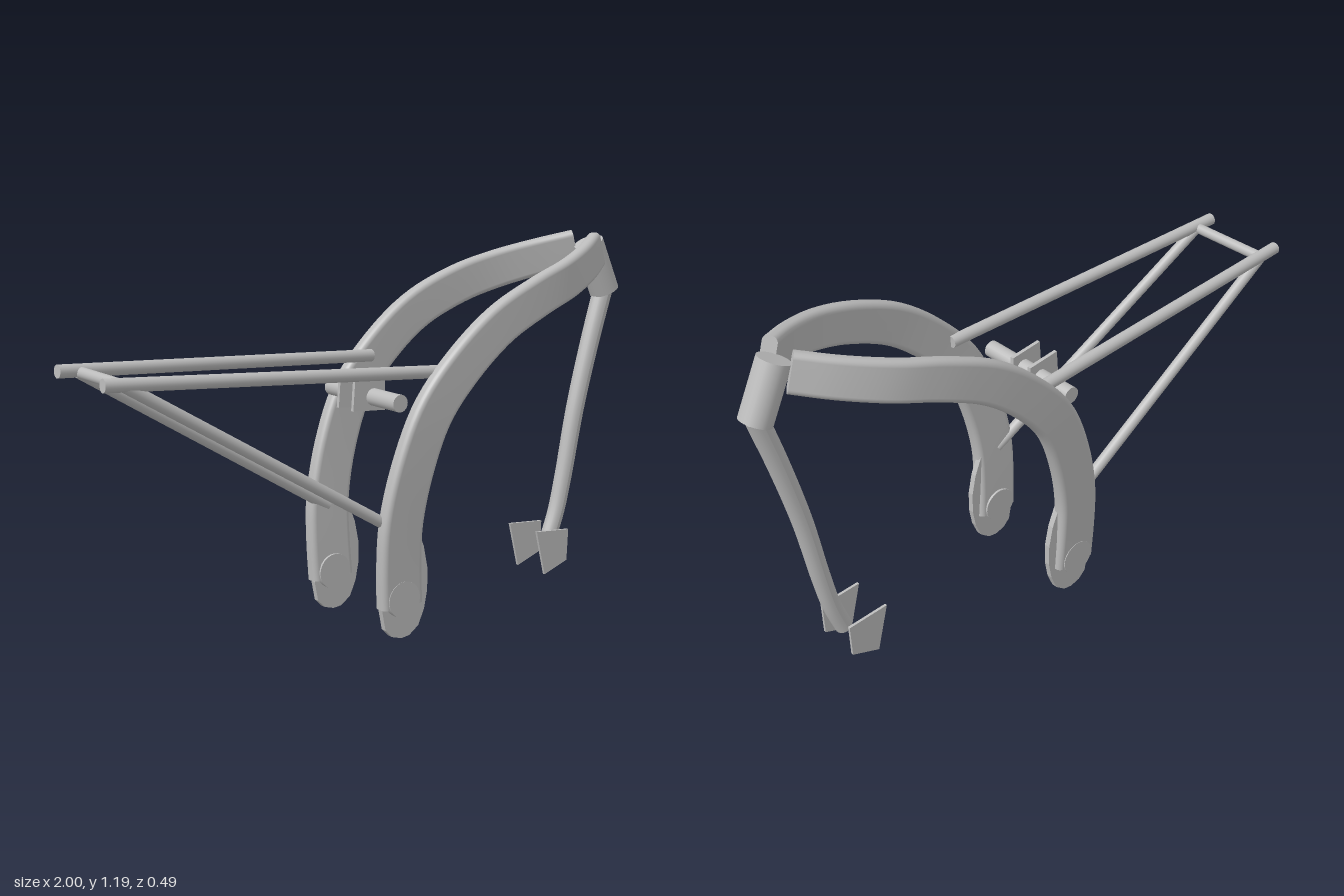
import * as THREE from 'three';

const metal = new THREE.MeshStandardMaterial({ color: 0xbbbbbb });
metal.name = 'bare metal';
const V = (x, y, z = 0) => new THREE.Vector3(x, y, z);

function add(parent, name, geometry) {
  const mesh = new THREE.Mesh(geometry, metal);
  mesh.name = name;
  parent.add(mesh);
  return mesh;
}

// Straight capped tube between two points
function rod(parent, name, a, b, radius) {
  const mesh = add(parent, name, new THREE.CylinderGeometry(radius, radius, a.distanceTo(b), 24));
  mesh.position.copy(a).add(b).multiplyScalar(0.5);
  mesh.quaternion.setFromUnitVectors(V(0, 1), b.clone().sub(a).normalize());
  return mesh;
}

// Flat plate from an outline in x and y, centred on z
function plate(parent, name, outline, z, thickness) {
  const shape = new THREE.Shape(outline.map(([x, y]) => new THREE.Vector2(x, y)));
  const geometry = new THREE.ExtrudeGeometry(shape, { depth: thickness, bevelEnabled: false });
  geometry.translate(0, 0, z - thickness / 2);
  return add(parent, name, geometry);
}

// Rounded rectangle swept along a curve; size(t) gives [height, thickness, corner radius]
function sweep(points, size, steps = 48) {
  const curve = new THREE.CatmullRomCurve3(points, false, 'centripetal');
  const perCorner = 6, ring = perCorner * 4;
  const positions = [], index = [];
  const rings = [];
  for (let i = 0; i <= steps; i++) {
    const t = i / steps;
    const center = curve.getPointAt(t), T = curve.getTangentAt(t);
    const N = V(-T.y, T.x).normalize();
    const B = T.clone().cross(N);
    const [h, w, r] = size(t);
    const loop = [];
    for (let c = 0; c < 4; c++) {
      const sn = c === 0 || c === 3 ? 1 : -1, sb = c < 2 ? 1 : -1;
      for (let k = 0; k < perCorner; k++) {
        const a = (c + (k + 0.02) / (perCorner - 0.96)) * Math.PI / 2;
        loop.push(center.clone()
          .addScaledVector(N, sn * (h / 2 - r) + r * Math.cos(a))
          .addScaledVector(B, sb * (w / 2 - r) + r * Math.sin(a)));
      }
    }
    rings.push(loop);
    loop.forEach(p => positions.push(p.x, p.y, p.z));
  }
  for (let i = 0; i < steps; i++) {
    for (let j = 0; j < ring; j++) {
      const k = (j + 1) % ring;
      const a = i * ring + j, b = i * ring + k, c = b + ring, d = a + ring;
      index.push(a, b, d, b, c, d);
    }
  }
  // Flat end caps with their own vertices
  [rings[0], rings[steps]].forEach((loop, end) => {
    const base = positions.length / 3;
    loop.forEach(p => positions.push(p.x, p.y, p.z));
    for (let j = 1; j < ring - 1; j++) {
      if (end) index.push(base, base + j, base + j + 1);
      else index.push(base, base + j + 1, base + j);
    }
  });
  const geometry = new THREE.BufferGeometry();
  geometry.setAttribute('position', new THREE.Float32BufferAttribute(positions, 3));
  geometry.setIndex(index);
  geometry.computeVertexNormals();
  return geometry;
}

export function createModel() {
  const model = new THREE.Group();
  model.name = 'frame';

  // Centre line of one curved main beam
  const beamPath = [
    [-0.048, 0.107, 0.189], [-0.054, 0.24, 0.194], [-0.05, 0.37, 0.2], [-0.012, 0.54, 0.209],
    [0.055, 0.70, 0.216], [0.16, 0.825, 0.219], [0.31, 0.945, 0.218], [0.48, 1.022, 0.207],
    [0.62, 1.065, 0.181], [0.755, 1.103, 0.121], [0.86, 1.133, 0.052],
  ];
  const dropout = [
    [-0.118, 0.1], [-0.105, 0.035], [-0.08, 0.01], [-0.045, 0], [-0.015, 0.004], [0.02, 0.03],
    [0.042, 0.08], [0.054, 0.14], [0.054, 0.21], [0.04, 0.28], [0.008, 0.36], [-0.06, 0.36],
  ];
  const tabOutline = [[-0.118, 0.695], [0, 0.688], [0, 0.782], [-0.11, 0.798]];
  const mountOutline = [[0.645, 0.055], [0.742, 0.09], [0.747, 0.197], [0.607, 0.208]];

  for (const [side, s] of [['left', 1], ['right', -1]]) {
    const half = new THREE.Group();
    half.name = side + 'Side';
    model.add(half);

    add(half, 'mainBeam', sweep(
      beamPath.map(([x, y, z]) => V(x, y, z * s)),
      t => [0.152 - 0.03 * t, 0.054 - 0.008 * t, 0.018]));

    // Lower plate and pivot boss
    plate(half, 'pivotPlate', dropout, 0.186 * s, 0.02);
    rod(half, 'pivotBoss', V(-0.05, 0.13, 0.157 * s), V(-0.05, 0.13, 0.22 * s), 0.058);

    // Rear subframe
    rod(half, 'seatRail', V(-1, 0.88, 0.142 * s), V(0.115, 0.817, 0.19 * s), 0.02);
    rod(half, 'rearStay', V(-0.935, 0.872, 0.142 * s), V(-0.06, 0.345, 0.187 * s), 0.018);

    // Shock and engine mounting plates
    plate(half, 'shockTab', tabOutline, 0.039 * s, 0.012);
    plate(half, 'engineMount', mountOutline, 0.069 * s, 0.009);
  }

  // Cross members
  rod(model, 'rearCrossTube', V(-0.93, 0.871, -0.14), V(-0.93, 0.871, 0.14), 0.017);
  rod(model, 'middleCrossTube', V(-0.042, 0.733, -0.184), V(-0.042, 0.733, 0.184), 0.027);

  // Steering head and curved down tube
  rod(model, 'headTube', V(0.873, 1.155), V(0.95, 0.988), 0.05);
  add(model, 'downTube', sweep(
    [V(0.947, 1.0), V(0.892, 0.823), V(0.832, 0.6), V(0.783, 0.36), V(0.755, 0.245), V(0.718, 0.145)],
    t => { const d = 0.066 - 0.01 * t; return [d, d, d / 2]; }));

  return model;
}
